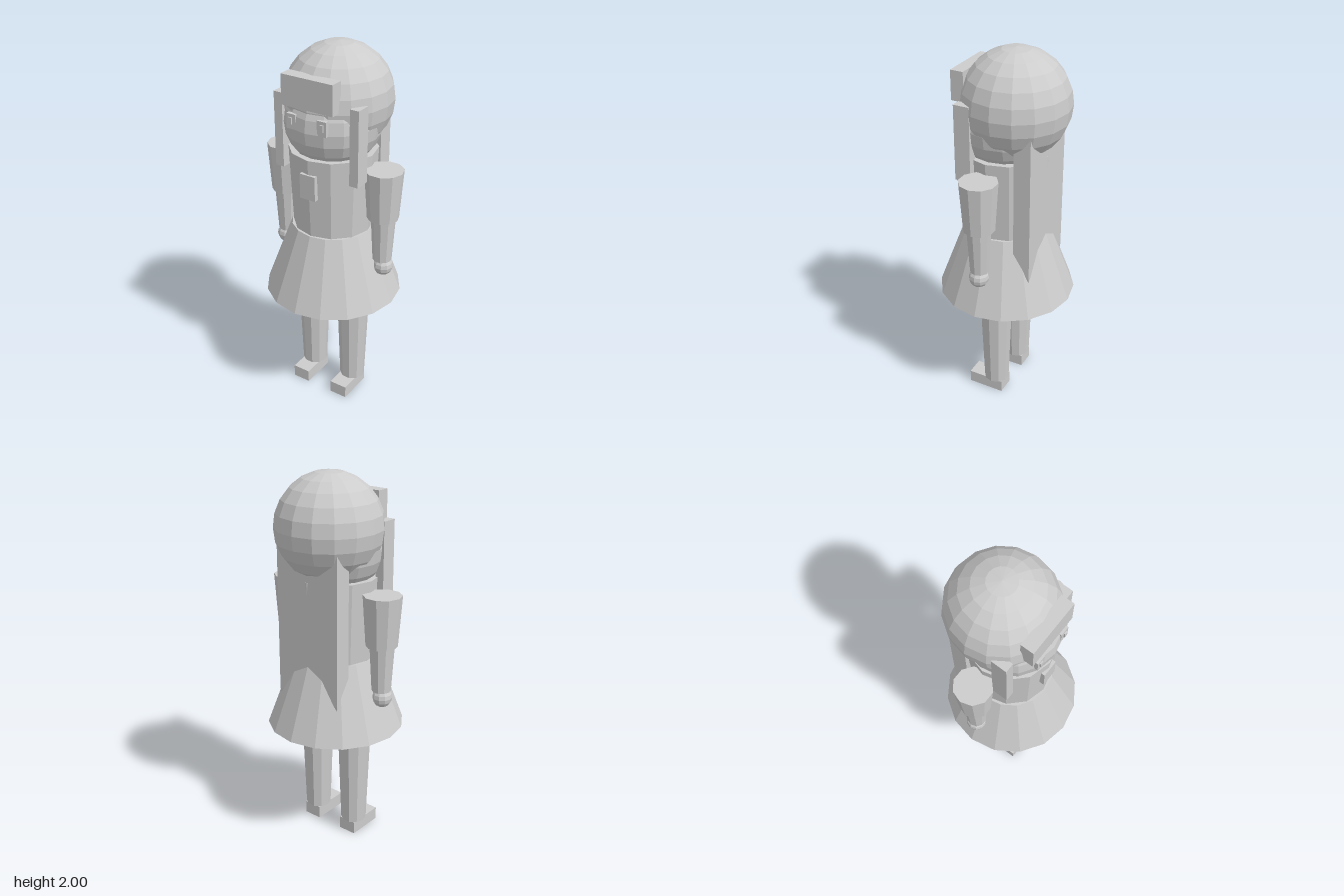
import * as THREE from 'three';

export function createModel() {
  const model = new THREE.Group();
  const grey = new THREE.MeshStandardMaterial({ color: 0xcccccc, flatShading: true });
  grey.name = 'plain grey';

  const add = (name, geometry, x, y, z) => {
    const mesh = new THREE.Mesh(geometry, grey);
    mesh.name = name;
    mesh.position.set(x, y, z);
    model.add(mesh);
    return mesh;
  };
  // Box given by its limits on each axis
  const box = (name, [x0, x1], [y0, y1], [z0, z1]) =>
    add(name, new THREE.BoxGeometry(x1 - x0, y1 - y0, z1 - z0), (x0 + x1) / 2, (y0 + y1) / 2, (z0 + z1) / 2);
  // Upright tapered cylinder between two heights, with a corner on the x axis
  const taper = (name, rTop, rBottom, y0, y1, sides, x = 0) => {
    const g = new THREE.CylinderGeometry(rTop, rBottom, y1 - y0, sides);
    g.rotateY(Math.PI / 2);
    return add(name, g, x, (y0 + y1) / 2, 0);
  };
  const ball = (name, r, w, h, x, y, z) => add(name, new THREE.SphereGeometry(r, w, h), x, y, z);

  // Head and hair
  ball('head', 0.25, 16, 12, 0, 1.62, 0);
  ball('hairCap', 0.28, 16, 12, 0, 1.72, -0.05);
  box('fringe', [-0.147, 0.147], [1.73, 1.885], [0.16, 0.23]);
  box('backHair', [-0.195, 0.195], [0.85, 1.65], [-0.227, -0.137]);

  // Hair end, narrowing below the hem of the skirt
  const tip = new THREE.BoxGeometry(0.39, 0.255, 0.09);
  const p = tip.attributes.position;
  for (let i = 0; i < p.count; i++) {
    if (p.getY(i) < 0) {
      p.setX(i, p.getX(i) * 0.9);
      if (p.getZ(i) < 0) p.setZ(i, -0.02);
    }
  }
  add('hairEnd', tip, 0, 0.7225, -0.182);

  // Body
  taper('torso', 0.23, 0.21, 1.03, 1.47, 12);
  taper('skirt', 0.22, 0.367, 0.645, 1.04, 16);
  box('chestBadge', [-0.045, 0.045], [1.26, 1.393], [0.2, 0.235]);

  // Mirrored parts
  for (const [side, s] of [['left', 1], ['right', -1]]) {
    const span = (a, b) => (s > 0 ? [a, b] : [-b, -a]);
    box(side + 'HairLock', span(0.197, 0.246), [1.36, 1.757], [0.075, 0.16]);
    box(side + 'Eye', span(0.062, 0.114), [1.62, 1.697], [0.215, 0.236]);
    box(side + 'Pupil', span(0.082, 0.1), [1.645, 1.68], [0.234, 0.243]);
    taper(side + 'Sleeve', 0.1, 0.082, 1.145, 1.412, 10, s * 0.3);
    taper(side + 'Forearm', 0.065, 0.05, 0.9, 1.16, 10, s * 0.303);
    ball(side + 'Hand', 0.053, 10, 8, s * 0.31, 0.863, 0);
    taper(side + 'Leg', 0.09, 0.069, 0.07, 0.66, 10, s * 0.129);
    box(side + 'Shoe', span(0.077, 0.177), [0, 0.07], [-0.055, 0.147]);
  }
  return model;
}
